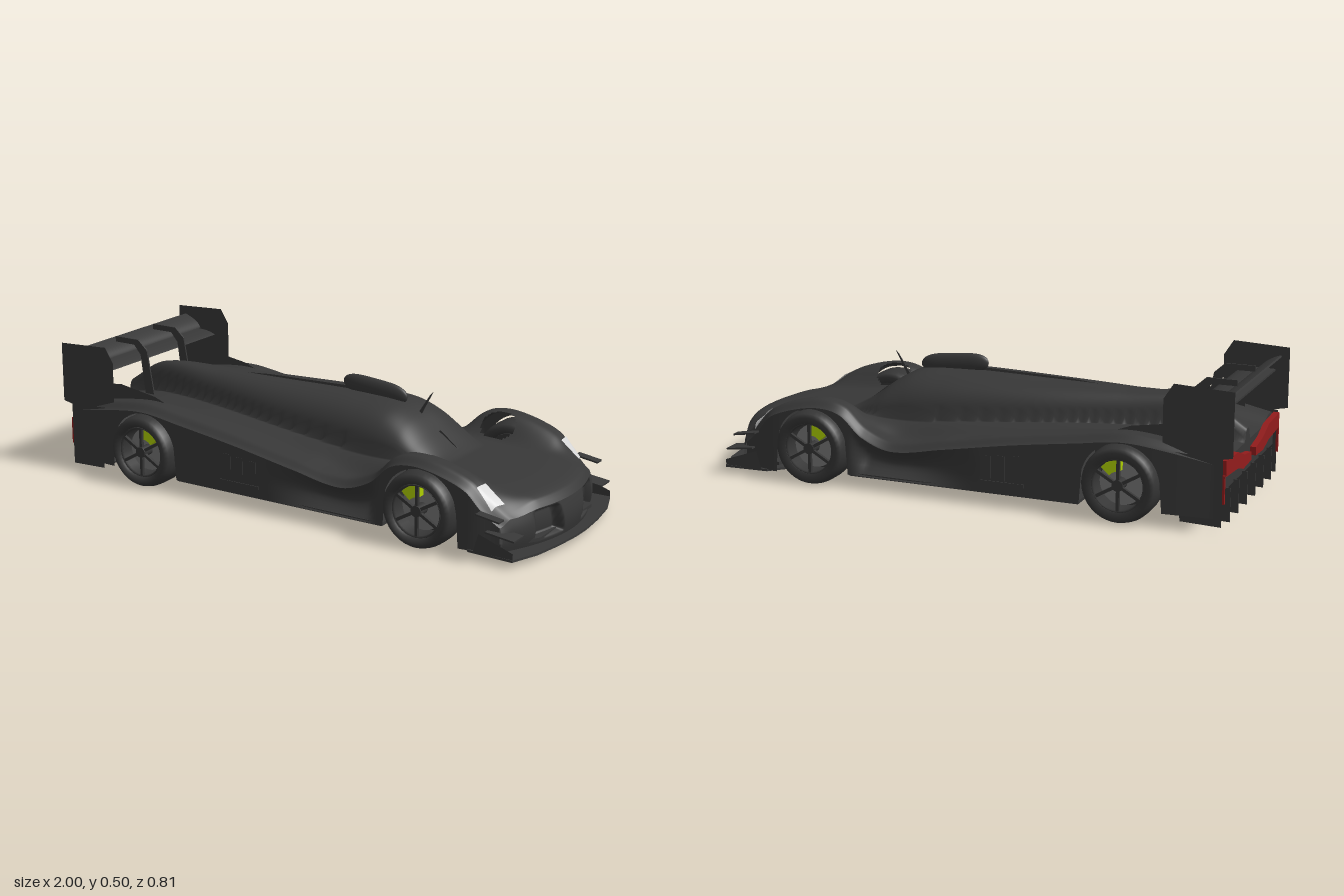
import * as THREE from 'three';

const mat = (name, color) => {
  const m = new THREE.MeshStandardMaterial({ color, side: THREE.DoubleSide });
  m.name = name;
  return m;
};

// Smooth curve through [x, value] points
function curve(pts) {
  const slope = i => {
    const a = pts[Math.max(i - 1, 0)], b = pts[Math.min(i + 1, pts.length - 1)];
    return (b[1] - a[1]) / (b[0] - a[0]);
  };
  return x => {
    let i = 0;
    while (i < pts.length - 2 && x > pts[i + 1][0]) i++;
    const [x0, y0] = pts[i], [x1, y1] = pts[i + 1], h = x1 - x0;
    const t = Math.min(Math.max((x - x0) / h, 0), 1), t2 = t * t, t3 = t2 * t;
    return (2 * t3 - 3 * t2 + 1) * y0 + (t3 - 2 * t2 + t) * h * slope(i)
      + (3 * t2 - 2 * t3) * y1 + (t3 - t2) * h * slope(i + 1);
  };
}
const step = (x, a, b) => THREE.MathUtils.smoothstep(x, a, b);

// Body lines along the length
const FRONT = 0.57, REAR = -0.61, AXLE = 0.14, X0 = -0.95, X1 = 0.96;
const halfWidth = curve([[-0.95, 0.355], [-0.7, 0.37], [0.7, 0.37], [0.85, 0.36], [0.96, 0.34]]);
const deck = curve([[-0.95, 0.235], [-0.75, 0.27], [-0.4, 0.272], [0, 0.25], [0.3, 0.235], [0.5, 0.23], [0.7, 0.218], [0.88, 0.2], [0.94, 0.183], [0.96, 0.16]]);
const fender = curve([[-0.95, 0.262], [-0.75, 0.298], [-0.61, 0.31], [-0.45, 0.29], [-0.2, 0.255], [0.05, 0.212], [0.25, 0.182], [0.37, 0.222], [0.45, 0.292], [0.53, 0.312], [0.63, 0.3], [0.75, 0.26], [0.82, 0.222], [0.9, 0.18], [0.96, 0.145]]);
const spine = curve([[-0.95, 0.28], [-0.8, 0.37], [-0.5, 0.384], [-0.2, 0.39], [0, 0.394], [0.15, 0.394], [0.28, 0.384], [0.36, 0.35], [0.43, 0.298], [0.5, 0.25], [0.56, 0.22]]);
const canopyWidth = curve([[-0.95, 0.03], [-0.8, 0.045], [-0.5, 0.1], [-0.2, 0.155], [0.1, 0.19], [0.3, 0.2], [0.42, 0.19], [0.56, 0.12]]);

function topY(x, z) {
  const a = Math.abs(z), w = halfWidth(x), d = deck(x);
  let y = d + (fender(x) - d) * step(a, 0.18, 0.295) - 0.025 * step(a, w - 0.04, w);
  const t = a / canopyWidth(x);
  if (x < 0.56 && t < 1) y = Math.max(y, d + (spine(x) - d) * Math.sqrt(1 - t ** 3));
  return y;
}
function bottomY(x) {
  for (const c of [FRONT, REAR]) {
    const d = Math.abs(x - c);
    if (d < 0.142) return Math.min(AXLE + Math.sqrt(0.142 ** 2 - d * d), topY(x, halfWidth(x)) - 0.004);
  }
  return x > 0.7 ? 0.03 : 0.052;
}
// Rounds the nose in plan
const planX = (x, u) => x - 0.1 * u * u * step(x, 0.7, 0.97);

function gridGeometry(rows, cols, point, skip = () => false) {
  const pos = [], idx = [];
  for (let i = 0; i <= rows; i++) for (let j = 0; j <= cols; j++) pos.push(...point(i, j));
  for (let i = 0; i < rows; i++) for (let j = 0; j < cols; j++) {
    const a = i * (cols + 1) + j, b = a + cols + 1;
    if (!skip(pos[a * 3], pos[a * 3 + 2])) idx.push(a, a + 1, b, b, a + 1, b + 1);
  }
  const g = new THREE.BufferGeometry();
  g.setAttribute('position', new THREE.Float32BufferAttribute(pos, 3));
  g.setIndex(idx);
  g.computeVertexNormals();
  return g;
}

export function createModel() {
  const car = new THREE.Group();
  const carbon = mat('carbon body', 0x383838), rubber = mat('tyre rubber', 0x353535);
  const metal = mat('brake disc grey', 0x787878), green = mat('caliper green', 0xb2d400);
  const red = mat('tail light red', 0x921c1c), lampWhite = mat('lamp white', 0xd4d4d4);

  const add = (name, geo, m, x = 0, y = 0, z = 0, parent = car) => {
    const mesh = new THREE.Mesh(geo, m);
    mesh.name = name;
    mesh.position.set(x, y, z);
    parent.add(mesh);
    return mesh;
  };
  const box = (name, sx, sy, sz, m, x, y, z, parent) => add(name, new THREE.BoxGeometry(sx, sy, sz), m, x, y, z, parent);
  const outline = pts => new THREE.Shape(pts.map(p => new THREE.Vector2(...p)));
  const extrude = (shape, depth) => new THREE.ExtrudeGeometry(shape, { depth, bevelEnabled: false, curveSegments: 16 });
  // Upright plate in the x-y plane, centred on z
  const plate = (name, pts, t, z) => add(name, extrude(outline(pts), t), carbon, 0, 0, z - t / 2);
  // Upright plate without thickness
  const sheet = (name, pts, z) => add(name, new THREE.ShapeGeometry(outline(pts)), carbon, 0, 0, z);
  // Flat plate from half an outline in x-z, mirrored
  const flat = (name, half, t, y) => {
    const pts = [...half, ...half.slice().reverse().map(([x, z]) => [x, -z])];
    return add(name, extrude(outline(pts), t).rotateX(Math.PI / 2), carbon, 0, y, 0);
  };

  // Top skin, with an opening beside each front wheel
  const rows = 200, cols = 96;
  const rowX = i => X0 + (X1 - X0) * i / rows;
  add('bodyShell', gridGeometry(rows, cols, (i, j) => {
    const x = rowX(i), u = j / cols * 2 - 1, z = u * halfWidth(x);
    return [planX(x, u), topY(x, z), z];
  }, (x, z) => Math.hypot((x - 0.535) / 0.066, (Math.abs(z) - 0.245) / 0.042) < 1.05), carbon);

  // Nose face with two recessed intakes
  add('noseFace', gridGeometry(24, cols, (i, j) => {
    const u = j / cols * 2 - 1, z = u * halfWidth(X1), a = Math.abs(z), t = i / 24, y = topY(X1, z);
    const inner = 0.06 + 0.03 * (1 - t);
    const recess = step(a, inner, inner + 0.015) * (1 - step(a, 0.2, 0.215)) * step(t, 0.03, 0.15) * (1 - step(t, 0.75, 0.85));
    return [planX(X1, u) + 0.012 * Math.sin(t * Math.PI) - 0.035 * recess, y + (0.03 - y) * t, z];
  }), carbon);

  // Tail face
  add('tailFace', gridGeometry(2, cols, (i, j) => {
    const z = (j / cols * 2 - 1) * halfWidth(X0), y = topY(X0, z);
    return [X0, y + (0.13 - y) * i / 2, z];
  }), carbon);

  for (const s of [1, -1]) {
    // Flanks with wheel arches and an undercut behind the front wheel
    add('bodySide', gridGeometry(rows, 8, (i, j) => {
      const x = rowX(i), w = halfWidth(x), t = (s > 0 ? j : 8 - j) / 8, y = topY(x, w);
      const cut = 0.04 * step(x, -0.1, 0.2) * (1 - step(x, 0.35, 0.42)) * Math.sin(t * Math.PI);
      return [planX(x, 1), y + (bottomY(x) - y) * t, s * (w - cut)];
    }), carbon);

    // Headlamp
    add('headlamp', gridGeometry(10, 6, (i, j) => {
      const x = 0.785 + 0.112 * i / 10, z = s * (0.283 + 0.052 * (s > 0 ? j : 6 - j) / 6);
      return [planX(x, z / halfWidth(x)) + 0.003, topY(x, z) + 0.004, z];
    }), lampWhite);

    // Inner wheel housing walls
    box('frontHousing', 0.3, 0.16, 0.006, carbon, FRONT, 0.13, s * 0.206);
    box('rearHousing', 0.3, 0.21, 0.006, carbon, REAR, 0.155, s * 0.2);

    // Dive planes and splitter ends
    box('divePlane', 0.11, 0.006, 0.07, carbon, 0.875, 0.1, s * 0.335).rotation.z = -0.12;
    box('upperDivePlane', 0.09, 0.006, 0.035, carbon, 0.84, 0.165, s * 0.375).rotation.z = -0.15;
    sheet('splitterEnd', [[0.78, 0.03], [0.93, 0.03], [0.93, 0.055], [0.8, 0.1]], s * 0.376);

    // Side vent frame and blades
    for (let k = 0; k < 3; k++)
      box('sideVent', 0.03, 0.1 - k * 0.01, 0.012, carbon, -0.23 + k * 0.055, 0.145, s * 0.368);
    box('ventSill', 0.17, 0.012, 0.016, carbon, -0.175, 0.09, s * 0.368);

    // Rear deck fin
    sheet('deckFin', [[-0.86, 0.26], [-0.5, 0.28], [-0.62, 0.325], [-0.78, 0.35], [-0.86, 0.34]], s * 0.288);

    // Wing endplate, lower tail plate and swan neck mount
    sheet('wingEndplate', [[-1, 0.495], [-0.79, 0.505], [-0.755, 0.45], [-0.755, 0.3], [-0.8, 0.285], [-0.9, 0.25], [-1, 0.27]], s * 0.361);
    sheet('tailPlate', [[-0.965, 0.025], [-0.82, 0.03], [-0.8, 0.27], [-0.965, 0.26]], s * 0.356);
    plate('wingMount', [[-0.8, 0.27], [-0.76, 0.27], [-0.79, 0.44], [-0.83, 0.476], [-0.94, 0.476], [-0.94, 0.455], [-0.85, 0.455], [-0.82, 0.42]], 0.006, s * 0.115);

    // Tail light: sweeping bar and end post
    const bar = outline([[0.03, 0.175], [0.13, 0.17], [0.2, 0.19], [0.345, 0.2], [0.345, 0.255], [0.2, 0.248], [0.12, 0.218], [0.03, 0.205]]);
    add('tailLightBar', extrude(bar, 0.022).rotateY(s * Math.PI / 2).scale(1, 1, -1), red, s > 0 ? -0.974 : -0.952, 0, 0);
    box('tailLightPost', 0.008, 0.1, 0.01, red, -0.968, 0.155, s * 0.35);
  }

  // Rear wing
  const wing = (name, x, y, chord, span, tilt) => {
    const s = new THREE.Shape();
    s.moveTo(-chord / 2, 0.004);
    s.quadraticCurveTo(chord * 0.25, 0.018, chord / 2, 0);
    s.quadraticCurveTo(chord * 0.2, -0.014, -chord / 2, -0.003);
    add(name, extrude(s, span).translate(0, 0, -span / 2), carbon, x, y, 0).rotation.z = tilt;
  };
  wing('wingMainPlane', -0.882, 0.405, 0.14, 0.695, -0.08);
  wing('wingFlap', -0.932, 0.438, 0.088, 0.722, -0.55);

  // Roof scoop with blunt ends, falling towards the front
  const scoop = new THREE.SphereGeometry(1, 28, 18), p = scoop.attributes.position;
  for (let i = 0; i < p.count; i++) {
    const x = Math.sign(p.getX(i)) * Math.abs(p.getX(i)) ** 0.5;
    p.setXYZ(i, 0.165 + x * 0.135, 0.41 - x * 0.012 + p.getY(i) * 0.038, p.getZ(i) * 0.019);
  }
  scoop.computeVertexNormals();
  add('roofScoop', scoop, carbon);

  // Spine ridge, aerial and wiper
  plate('spineRidge', [[-0.6, 0.37], [0.05, 0.385], [0.05, 0.405], [-0.3, 0.395]], 0.005, 0);
  plate('aerial', [[0.34, 0.34], [0.355, 0.34], [0.405, 0.435], [0.395, 0.425]], 0.004, 0);
  plate('wiper', [[0.42, 0.29], [0.5, 0.235], [0.51, 0.245], [0.44, 0.3]], 0.006, 0);

  // Floor, splitter and diffuser
  flat('floor', [[-0.82, 0.2], [-0.46, 0.2], [-0.46, 0.368], [0.42, 0.368], [0.42, 0.206], [0.72, 0.206], [0.72, 0.35], [0.86, 0.33], [0.94, 0.2]], 0.012, 0.06);
  flat('splitter', [[0.69, 0.3], [0.76, 0.372], [0.93, 0.38], [0.97, 0.27], [0.99, 0.15], [1, 0.04]], 0.008, 0.034);
  box('diffuser', 0.18, 0.008, 0.7, carbon, -0.86, 0.095, 0).rotation.z = -0.45;
  for (const z of [-0.27, -0.163, -0.055, 0.055, 0.163, 0.27])
    plate('diffuserStrake', [[-0.97, 0.02], [-0.76, 0.028], [Math.abs(z) > 0.2 ? -0.76 : -0.5, 0.05], [-0.78, 0.06], [-0.95, 0.14], [-0.97, 0.14]], 0.004, z);

  // Wheels
  const tyreProfile = [[0.094, -0.06], [0.118, -0.07], [0.13, -0.058], [0.136, -0.035], [0.137, 0], [0.136, 0.035], [0.13, 0.058], [0.118, 0.07], [0.1, 0.066], [0.094, 0.05]];
  const tyre = new THREE.LatheGeometry(tyreProfile.map(q => new THREE.Vector2(...q)), 40).rotateX(Math.PI / 2);
  const drum = (r, h, open) => new THREE.CylinderGeometry(r, r, h, 32, 1, open).rotateX(Math.PI / 2);
  // Caliper: a ring segment around the upper part of the disc
  const arc = new THREE.Shape();
  arc.absarc(0, 0, 0.086, -0.46, 0.46, false);
  arc.absarc(0, 0, 0.046, 0.46, -0.46, true);
  const caliper = extrude(arc, 0.03).translate(0, 0, -0.015);
  for (const [name, cx, angle] of [['front', FRONT, 1.98], ['rear', REAR, 1.16]]) for (const s of [1, -1]) {
    const wheel = new THREE.Group();
    wheel.name = name + 'Wheel';
    wheel.position.set(cx, 0.139, s * 0.336);
    car.add(wheel);
    add('tyre', tyre, rubber, 0, 0, 0, wheel);
    add('rimBarrel', drum(0.095, 0.12, true), rubber, 0, 0, 0, wheel);
    add('rimBack', drum(0.094, 0.01), rubber, 0, 0, -s * 0.04, wheel);
    add('brakeDisc', drum(0.08, 0.012), metal, 0, 0, s * 0.005, wheel);
    add('hub', drum(0.02, 0.06), rubber, 0, 0, s * 0.03, wheel);
    add('rimLip', new THREE.TorusGeometry(0.093, 0.005, 6, 40), rubber, 0, 0, s * 0.052, wheel);
    add('caliper', caliper, green, 0, 0, s * 0.028, wheel).rotation.z = angle;
    for (let k = 0; k < 6; k++) {
      const a = k * Math.PI / 3 + Math.PI / 6;
      box('spoke', 0.08, 0.011, 0.012, rubber, Math.cos(a) * 0.053, Math.sin(a) * 0.053, s * 0.05, wheel).rotation.z = a;
    }
  }
  return car;
}
